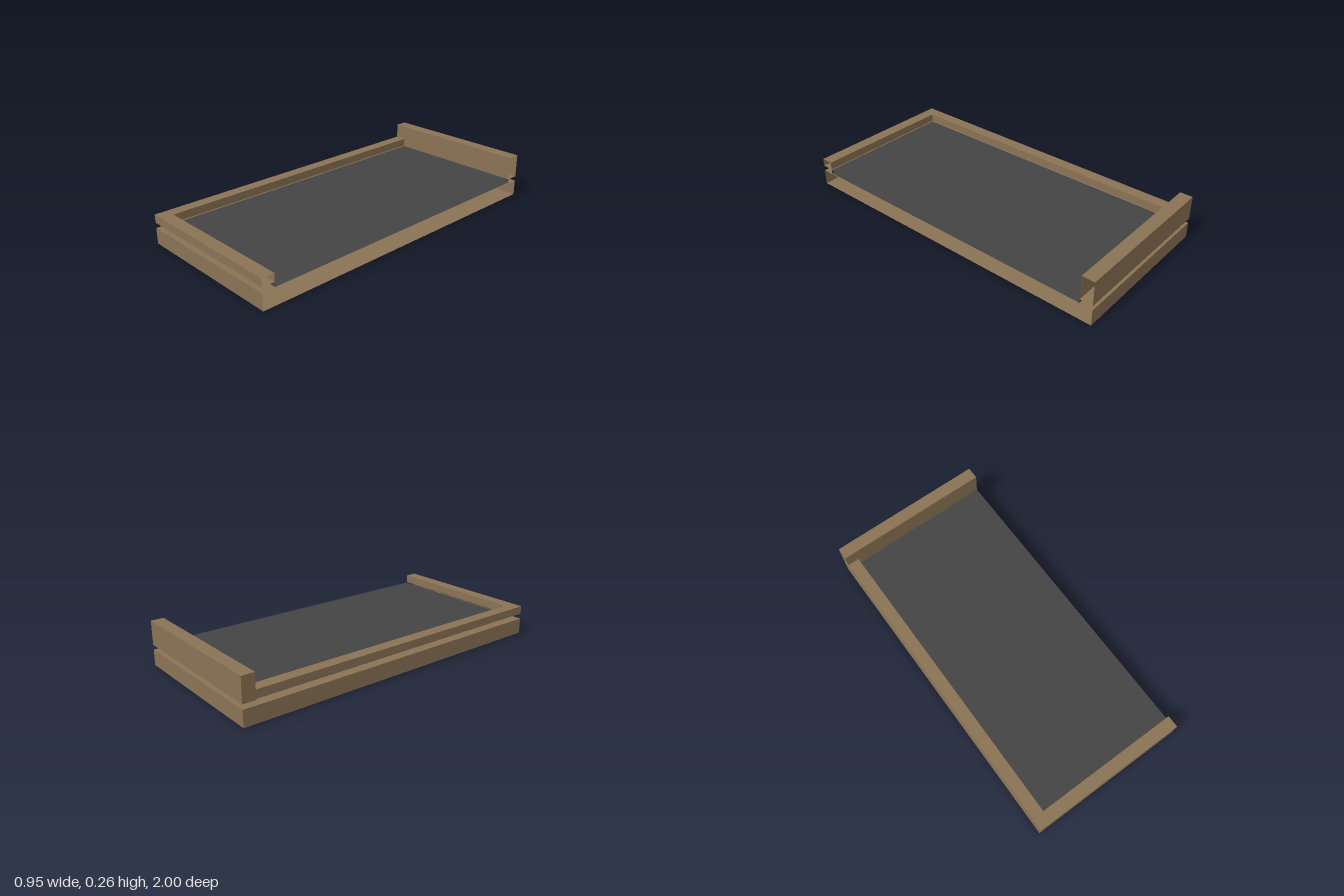
import * as THREE from 'three';

// Face order of a BoxGeometry, six indices per face
const FACES = ['+x', '-x', '+y', '-y', '+z', '-z'];

// Box between two corners, leaving out the listed faces
function openBox(name, material, [x0, y0, z0], [x1, y1, z1], open) {
  const geometry = new THREE.BoxGeometry(x1 - x0, y1 - y0, z1 - z0);
  const index = Array.from(geometry.index.array);
  geometry.setIndex(index.filter((_, i) => !open.includes(FACES[Math.floor(i / 6)])));
  geometry.clearGroups();
  geometry.translate((x0 + x1) / 2, (y0 + y1) / 2, (z0 + z1) / 2);
  const mesh = new THREE.Mesh(geometry, material);
  mesh.name = name;
  return mesh;
}

export function createModel() {
  const wood = new THREE.MeshStandardMaterial({ name: 'wood', color: 0x8b7355, side: THREE.DoubleSide });
  const dark = new THREE.MeshStandardMaterial({ name: 'darkPanel', color: 0x444444, side: THREE.DoubleSide });

  const X = 0.475, inX = -0.405, Z = 1, inZ = 0.927;
  const model = new THREE.Group();
  model.name = 'frame';

  // Hollow base, floating panel and tall back board, all open at the +x end
  model.add(
    openBox('base', wood, [-X, 0, -Z], [X, 0.094, Z], ['+x']),
    openBox('panel', dark, [inX, 0.1, -0.925], [X, 0.122, inZ], ['+x']),
    openBox('backBoard', wood, [-X, 0.122, -Z], [X, 0.264, -0.925], ['+x']),
  );

  // L-shaped rim along the front and the -x side
  const rim = new THREE.Group();
  rim.name = 'rim';
  const low = 0.127, high = 0.175;
  rim.add(
    openBox('frontRail', wood, [inX, low, inZ], [X, high, Z], ['+x', '-x']),
    openBox('cornerBlock', wood, [-X, low, inZ], [inX, high, Z], ['+x', '-z']),
    openBox('sideRail', wood, [-X, low, -0.925], [inX, high, inZ], ['+z', '-z']),
  );
  model.add(rim);
  return model;
}
